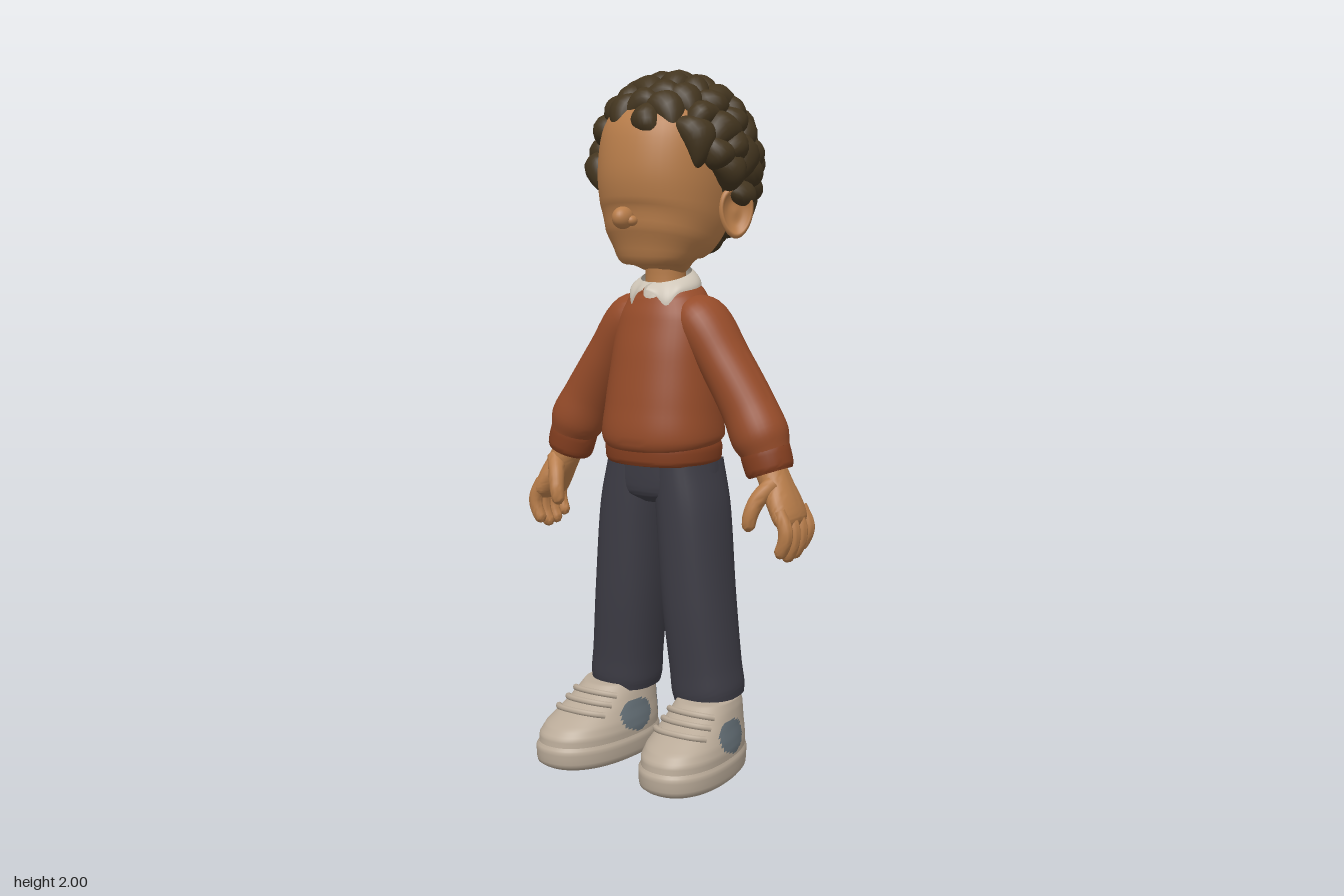
import * as THREE from 'three';
import { mergeVertices, mergeGeometries, toCreasedNormals } from 'three/addons/utils/BufferGeometryUtils.js';

const paint = (name, color, side = THREE.FrontSide) => {
  const m = new THREE.MeshStandardMaterial({ color, side });
  m.name = name;
  return m;
};

// Surface from f(u, v) -> Vector3; s = -1 builds the mirrored copy
function grid(nu, nv, f, s = 1) {
  const g = new THREE.PlaneGeometry(1, 1, nu, nv);
  const p = g.attributes.position, uv = g.attributes.uv;
  for (let i = 0; i < p.count; i++) {
    const u = uv.getX(i), q = f(s < 0 ? 1 - u : u, uv.getY(i));
    p.setXYZ(i, q.x * s, q.y, q.z);
  }
  g.deleteAttribute('uv');
  g.deleteAttribute('normal');
  const m = mergeVertices(g, 1e-5);
  m.computeVertexNormals();
  return m;
}

const power = (x, e) => Math.sign(x) * Math.abs(x) ** (2 / e);

// Closed loft along a smooth path; rows are [x, y, z, radius across, radius in z]
function limb(rows, s = 1, nu = 32, nv = 30, e = 2) {
  const path = new THREE.CatmullRomCurve3(rows.map(r => new THREE.Vector3(r[0], r[1], r[2])));
  const size = new THREE.CatmullRomCurve3(rows.map(r => new THREE.Vector3(r[3], r[4], 0)), false, 'catmullrom', 0.4);
  const g = grid(nu, nv, (u, v) => {
    const t = THREE.MathUtils.clamp((v - 1 / nv) / (1 - 2 / nv), 0, 1);
    const open = v > 0.001 && v < 0.999 ? 1 : 0;
    const c = path.getPoint(t), r = size.getPoint(t), T = path.getTangent(t);
    const B = new THREE.Vector3(0, 0, 1).addScaledVector(T, -T.z).normalize();
    const N = T.clone().cross(B), a = u * Math.PI * 2;
    return c.addScaledVector(N, open * r.x * power(Math.sin(a), e)).addScaledVector(B, open * r.y * power(Math.cos(a), e));
  }, s);
  return toCreasedNormals(g, 1.0);
}

// Shoe outline at each level: [y, front z, back z, half width]
const UPPER = [[.06, .312, -.118, .118], [.09, .308, -.118, .118], [.115, .285, -.118, .112], [.14, .24, -.117, .103],
  [.165, .19, -.115, .096], [.19, .15, -.112, .09], [.213, .12, -.105, .082]];
const SOLE = [[0, .3, -.108, .112], [.012, .317, -.12, .122], [.055, .32, -.122, .124], [.068, .312, -.118, .118]];
function shoePoint(levels, a, v, grow = 0) {
  const k = Math.min(v * (levels.length - 1), levels.length - 1.0001), i = Math.floor(k);
  const [y, f, b, w] = levels[i].map((n, j) => THREE.MathUtils.lerp(n, levels[i + 1][j], k - i));
  const z = (f + b) / 2 + ((f - b) / 2 + grow) * power(Math.cos(a), 2.25);
  return new THREE.Vector3(.163 + .08 * z + (w + grow) * power(Math.sin(a), 2.25) * (1 + .06 * Math.cos(a)), y + grow * .6, z);
}
const shoeLoft = (levels, s, nu, nv) => grid(nu, nv, (u, v) => {
  const t = THREE.MathUtils.clamp((v - 1 / nv) / (1 - 2 / nv), 0, 1), p = shoePoint(levels, u * Math.PI * 2, t);
  return v < .001 || v > .999 ? new THREE.Vector3(.17, p.y, .04) : p;
}, s);

// Sort triangles into two material groups by their centre
function twoTone(g, test) {
  const idx = g.index.array, p = g.attributes.position, sets = [[], []];
  for (let i = 0; i < idx.length; i += 3) {
    const c = new THREE.Vector3();
    for (let j = 0; j < 3; j++) c.add(new THREE.Vector3().fromBufferAttribute(p, idx[i + j]));
    sets[test(c.divideScalar(3)) ? 1 : 0].push(idx[i], idx[i + 1], idx[i + 2]);
  }
  g.setIndex([...sets[0], ...sets[1]]);
  g.addGroup(0, sets[0].length, 0);
  g.addGroup(sets[0].length, sets[1].length, 1);
  return g;
}

// Curly hair: bent lumps spread over the skull, leaving face and ears free
function curls() {
  let seed = 7;
  const rnd = () => (seed = (seed * 16807) % 2147483647) / 2147483647;
  const parts = [], N = 150, X = new THREE.Vector3(1, 0, 0);
  for (let i = 0; i < N; i++) {
    const h = 1 - 2 * (i + .5) / N, a = i * 2.39996, r = Math.sqrt(1 - h * h);
    const n = new THREE.Vector3(r * Math.cos(a), h, r * Math.sin(a));
    const c = new THREE.Vector3(n.x * .212, 1.73 + n.y * .225, -.045 + n.z * .217);
    const line = c.z > .085 ? 1.855 : c.z > -.09 ? 1.715 : 1.5;
    const turn = rnd() * 6.28, len = .056 + rnd() * .022, wide = .04 + rnd() * .012, bend = rnd() < .5 ? 5 : -5;
    if (c.y < line) continue;
    const g = new THREE.SphereGeometry(1, 18, 12), p = g.attributes.position;
    for (let j = 0; j < p.count; j++) {
      const x = p.getX(j) * len, taper = 1 - .3 * p.getX(j);
      p.setXYZ(j, x, p.getY(j) * wide * taper + bend * x * x, p.getZ(j) * .046 * taper - 3 * x * x);
    }
    const q = new THREE.Quaternion().setFromUnitVectors(new THREE.Vector3(0, 0, 1), n);
    g.rotateZ(turn).applyQuaternion(q).translate(c.x, c.y, c.z);
    g.computeVertexNormals();
    parts.push(g);
  }
  return mergeGeometries(parts);
}

export function createModel() {
  const root = new THREE.Group();
  root.name = 'boy';
  const skin = paint('skin', 0xb87d4a), hair = paint('hair', 0x43351f), wool = paint('sweater', 0x954b29),
    rib = paint('ribbing', 0x853f20), denim = paint('trousers', 0x3d3c45), canvas = paint('shoe', 0xb9aa98),
    patch = paint('shoePatch', 0x646f76), linen = paint('collar', 0xcdc4b6, THREE.DoubleSide);
  const add = (name, geo, mat) => {
    const m = new THREE.Mesh(geo, mat);
    m.name = name;
    root.add(m);
    return m;
  };
  const ball = (x, y, z, a, b, c) => new THREE.SphereGeometry(1, 28, 20).scale(a, b, c).translate(x, y, z);

  // Head
  add('head', limb([[0, 1.437, .04, .03, .04], [0, 1.45, .035, .085, .08], [0, 1.48, .035, .122, .115],
    [0, 1.53, .024, .155, .154], [0, 1.6, .005, .176, .185], [0, 1.7, -.007, .186, .203], [0, 1.8, -.015, .182, .195],
    [0, 1.88, -.025, .15, .155], [0, 1.93, -.03, .06, .06]], 1, 48, 40, 2.2), skin);
  add('nose', mergeGeometries([ball(0, 1.588, .205, .027, .031, .036), ball(.022, 1.58, .195, .016, .015, .018),
    ball(-.022, 1.58, .195, .016, .015, .018)]), skin);
  add('neck', limb([[0, 1.35, 0, .062, .062], [0, 1.42, 0, .058, .058], [0, 1.5, 0, .062, .062]]), skin);
  add('hairCap', ball(0, 1.73, -.08, .208, .22, .2), hair);
  add('curls', curls(), hair);

  // Shirt collar with two points meeting at the front
  add('collar', grid(80, 8, (u, v) => {
    const t = .05 + u * (Math.PI * 2 - .1), d = Math.min(t, Math.PI * 2 - t), c = Math.cos(t);
    const low = 1.388 - .015 * c - .034 * Math.exp(-(((d - .62) / .22) ** 2)) + .012 * Math.exp(-((d / .25) ** 2));
    const high = 1.426 - .022 * c, r = 1 - v * v;
    return new THREE.Vector3(Math.sin(t) * (.074 + .03 * r), low + (high - low) * v, c * (.072 + (c > 0 ? .036 : .02) * r) - .004);
  }), linen);
  add('shirtBand', limb([[0, 1.36, 0, .07, .082], [0, 1.405, 0, .066, .068]], 1, 32, 8), linen);

  // Sweater body and trouser top
  add('sweater', limb([[0, .935, .01, .16, .145], [0, .965, .012, .178, .163], [0, 1.05, .008, .172, .155],
    [0, 1.18, 0, .16, .138], [0, 1.3, -.012, .148, .118], [0, 1.365, -.013, .115, .096], [0, 1.402, -.008, .08, .078]], 1, 48, 40, 2.2), wool);
  add('sweaterHem', limb([[0, .89, .01, .162, .144], [0, .9, .01, .169, .15], [0, .935, .01, .171, .152], [0, .955, .01, .165, .148]], 1, 48, 12, 2.2), rib);
  add('trouserTop', limb([[0, .775, 0, .06, .08], [0, .8, 0, .15, .115], [0, .84, 0, .174, .122], [0, .93, 0, .16, .125]], 1, 40, 20, 2.2), denim);

  for (const s of [1, -1]) {
    const side = s > 0 ? 'left' : 'right';

    // Cupped ear turned partly forward
    const rim = new THREE.CatmullRomCurve3([[0, -.9], [.55, -.75], [.92, -.3], [1, .12], [.86, .32], [.68, .08], [.4, -.15], [0, -.1]]
      .map(([r, h]) => new THREE.Vector3(r, h, 0)));
    const A = new THREE.Vector3(.82, 0, .57), W = new THREE.Vector3(.57, 0, -.82);
    add(side + 'Ear', grid(32, 28, (u, v) => {
      const a = u * Math.PI * 2, q = rim.getPoint(v), lobe = 1 - .14 * (1 - Math.cos(a));
      return new THREE.Vector3(.205, 1.603, -.05).addScaledVector(W, -Math.sin(a) * q.x * .06 * lobe)
        .addScaledVector(A, q.y * .034).add(new THREE.Vector3(0, Math.cos(a) * q.x * .074, 0));
    }, s), skin);

    // Arm
    add(side + 'Sleeve', limb([[.05, 1.345, -.012, .035, .06], [.115, 1.297, -.012, .075, .09], [.195, 1.19, -.01, .073, .084],
      [.28, 1.06, -.006, .078, .08], [.322, .985, 0, .083, .082], [.345, .938, 0, .068, .068]], s), wool);
    add(side + 'Cuff', limb([[.332, .962, 0, .066, .066], [.34, .94, 0, .072, .07], [.354, .895, 0, .07, .068], [.358, .884, 0, .064, .062]], s, 32, 12), rib);
    add(side + 'Palm', limb([[.352, .905, 0, .044, .045], [.378, .855, .002, .043, .053], [.408, .8, .004, .039, .07],
      [.426, .762, .004, .033, .074], [.433, .738, .004, .018, .06]], s), skin);
    [-.056, -.018, .02, .058].forEach((z, i) => {
      const drop = [.018, 0, -.004, .012][i];
      add(side + 'Finger' + (i + 1), limb([[.42, .79, z, .02, .018], [.443, .74, z * 1.05, .021, .0195], [.441, .695 + drop, z * 1.05, .02, .019],
        [.425, .66 + drop, z, .018, .017], [.419, .65 + drop, z, .008, .008]], s, 16, 18), skin);
    });
    add(side + 'Thumb', limb([[.385, .86, .03, .025, .03], [.358, .82, .065, .023, .025], [.343, .775, .082, .021, .022],
      [.337, .742, .082, .018, .019], [.335, .73, .08, .007, .008]], s, 16, 18), skin);

    // Trouser leg with a turned hem
    add(side + 'Leg', limb([[.082, .89, 0, .082, .12], [.1, .75, .002, .096, .119], [.12, .5, .003, .1, .112],
      [.14, .3, -.003, .1, .104], [.147, .235, -.006, .102, .104], [.15, .205, -.008, .098, .1]], s, 32, 36, 2.3), denim);

    // Shoe with patches on both sides and the heel
    const isPatch = c => (c.z < -.075 && c.y > .08 && c.y < .18) ||
      ((c.z - .06) / .07) ** 2 + ((c.y - .122) / .045) ** 2 < 1 && Math.abs(Math.abs(c.x) - .17) > .06;
    add(side + 'ShoeUpper', twoTone(shoeLoft(UPPER, s, 96, 26), isPatch), [canvas, patch]);
    add(side + 'Sole', toCreasedNormals(shoeLoft(SOLE, s, 56, 12), .8), canvas);
    [.58, .72, .86].forEach((v, i) => {
      const pts = [];
      for (let k = -4; k <= 4; k++) {
        const p = shoePoint(UPPER, k * .22, v - .004 * k * k, .002);
        pts.push(p.setX(p.x * s));
      }
      add(side + 'Lace' + (i + 1), new THREE.TubeGeometry(new THREE.CatmullRomCurve3(pts), 24, .0095, 8), canvas);
    });
  }
  return root;
}
